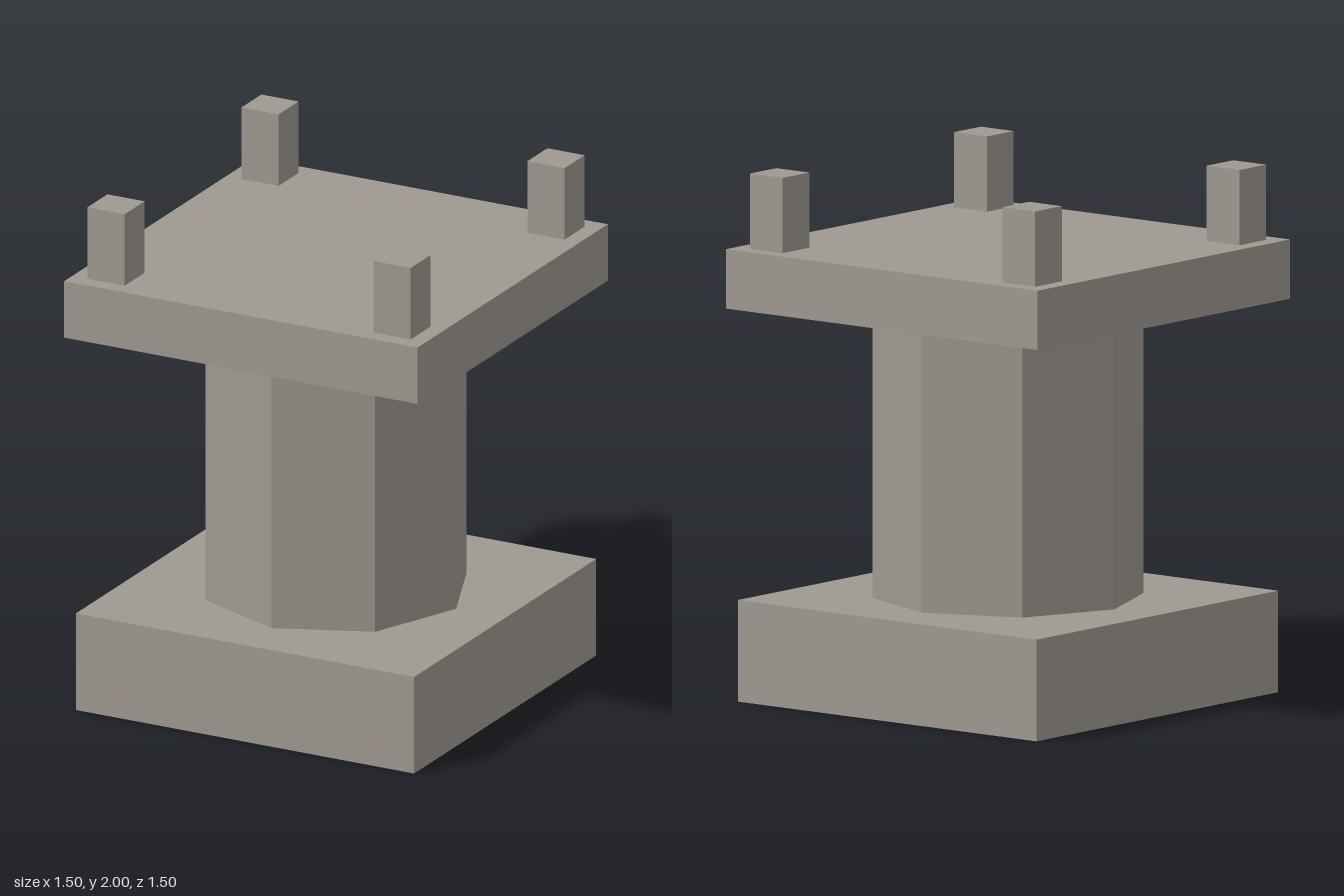
import * as THREE from 'three';

export function createModel() {
  const model = new THREE.Group();
  const stone = new THREE.MeshStandardMaterial({ color: 0x9e9890, flatShading: true });

  // Adds a named part resting on height y
  const add = (name, geometry, height, x, y, z) => {
    const mesh = new THREE.Mesh(geometry, stone);
    mesh.name = name;
    mesh.position.set(x, y + height / 2, z);
    model.add(mesh);
  };
  const block = (name, width, bottom, top, x = 0, z = 0) =>
    add(name, new THREE.BoxGeometry(width, top - bottom, width), top - bottom, x, bottom, z);

  const baseTop = 0.385, shaftTop = 1.49, slabTop = 1.715;

  // Square plinth
  block('base', 1.436, 0, baseTop);

  // Octagonal column with a corner facing the front
  const shaftHeight = shaftTop - baseTop;
  add('column', new THREE.CylinderGeometry(0.51, 0.51, shaftHeight, 8), shaftHeight, 0, baseTop, 0);

  // Overhanging top slab
  block('topSlab', 1.5, shaftTop, slabTop);

  // Four corner posts
  for (const [zName, sz] of [['front', 1], ['back', -1]]) {
    for (const [xName, sx] of [['Left', 1], ['Right', -1]]) {
      block(`${zName}${xName}Post`, 0.158, slabTop, 2, sx * 0.607, sz * 0.607);
    }
  }
  return model;
}
